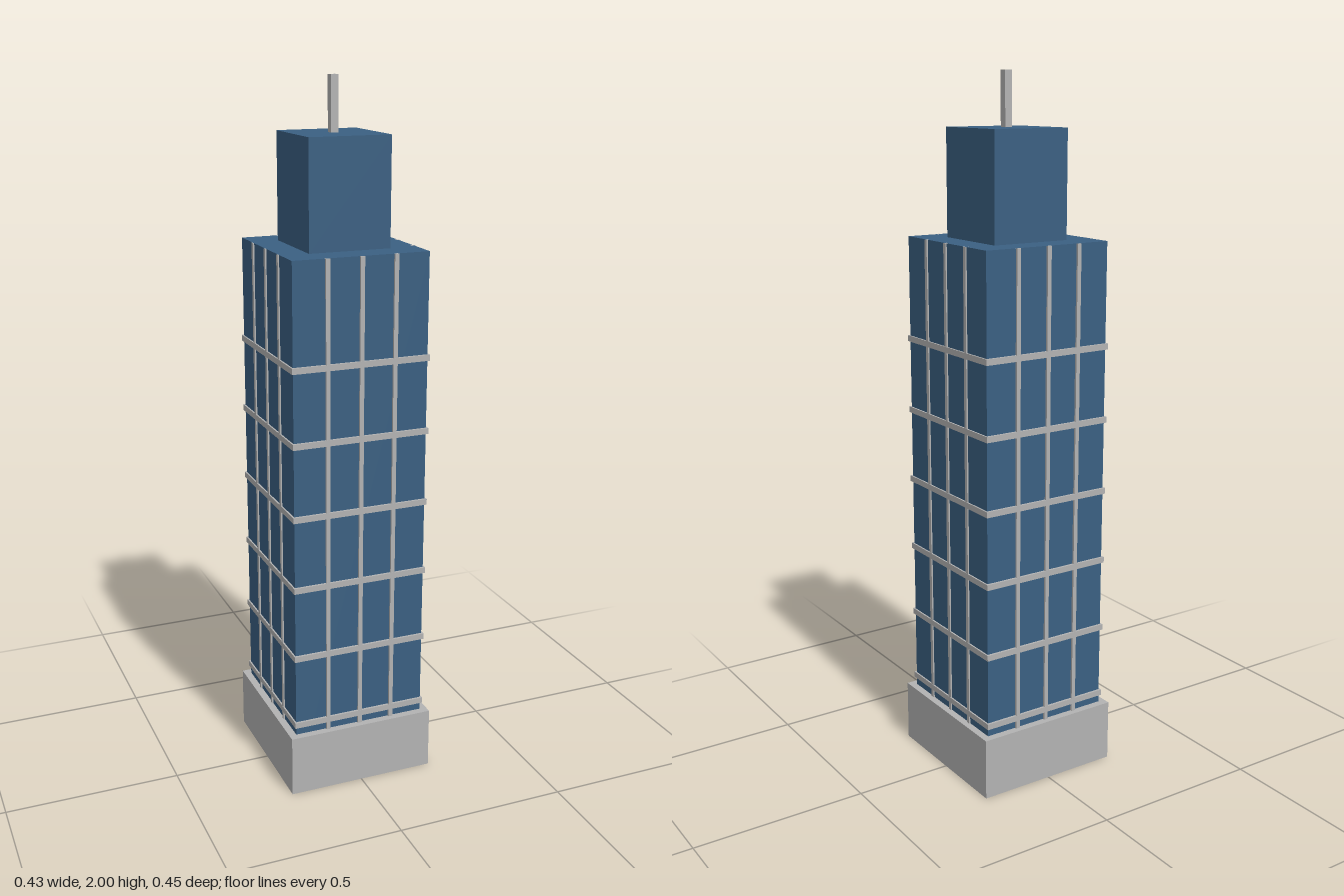
import * as THREE from 'three';

export function createModel() {
  const group = new THREE.Group();
  const blueGlass = new THREE.MeshStandardMaterial({ color: 0x3b6082 });
  const paleStone = new THREE.MeshStandardMaterial({ color: 0xb3b3b3 });

  // Box standing on height y0
  function box(name, material, w, h, d, x, y0, z) {
    const mesh = new THREE.Mesh(new THREE.BoxGeometry(w, h, d), material);
    mesh.name = name;
    mesh.position.set(x, y0 + h / 2, z);
    group.add(mesh);
    return mesh;
  }

  const W = 0.392, D = 0.402, towerTop = 1.55, podiumTop = 0.18;

  // Main masses: the tower core shows as an inset panel in the underside
  box('podium', paleStone, 0.434, podiumTop - 0.001, 0.446, 0, 0.001, 0);
  box('tower', blueGlass, W, towerTop, D, 0, 0, 0);
  box('crown', blueGlass, W * 0.6, 0.3, D * 0.6, 0, towerTop, 0);
  box('spire', paleStone, 0.022, 0.15, 0.022, 0, 1.85, 0);

  // Horizontal bands around the tower
  for (let i = 0; i < 6; i++) {
    box('floorBand', paleStone, 0.401, 0.017, 0.416, 0, 0.203 + i * 0.2095, 0);
  }

  // Vertical mullions, three on each face
  const h = towerTop - podiumTop;
  for (const i of [-1, 0, 1]) {
    for (const side of [-1, 1]) {
      box('mullion', paleStone, 0.012, h, 0.012, i * W / 4, podiumTop, side * 0.2015);
      box('mullion', paleStone, 0.012, h, 0.012, side * 0.194, podiumTop, i * D / 4);
    }
  }

  return group;
}
